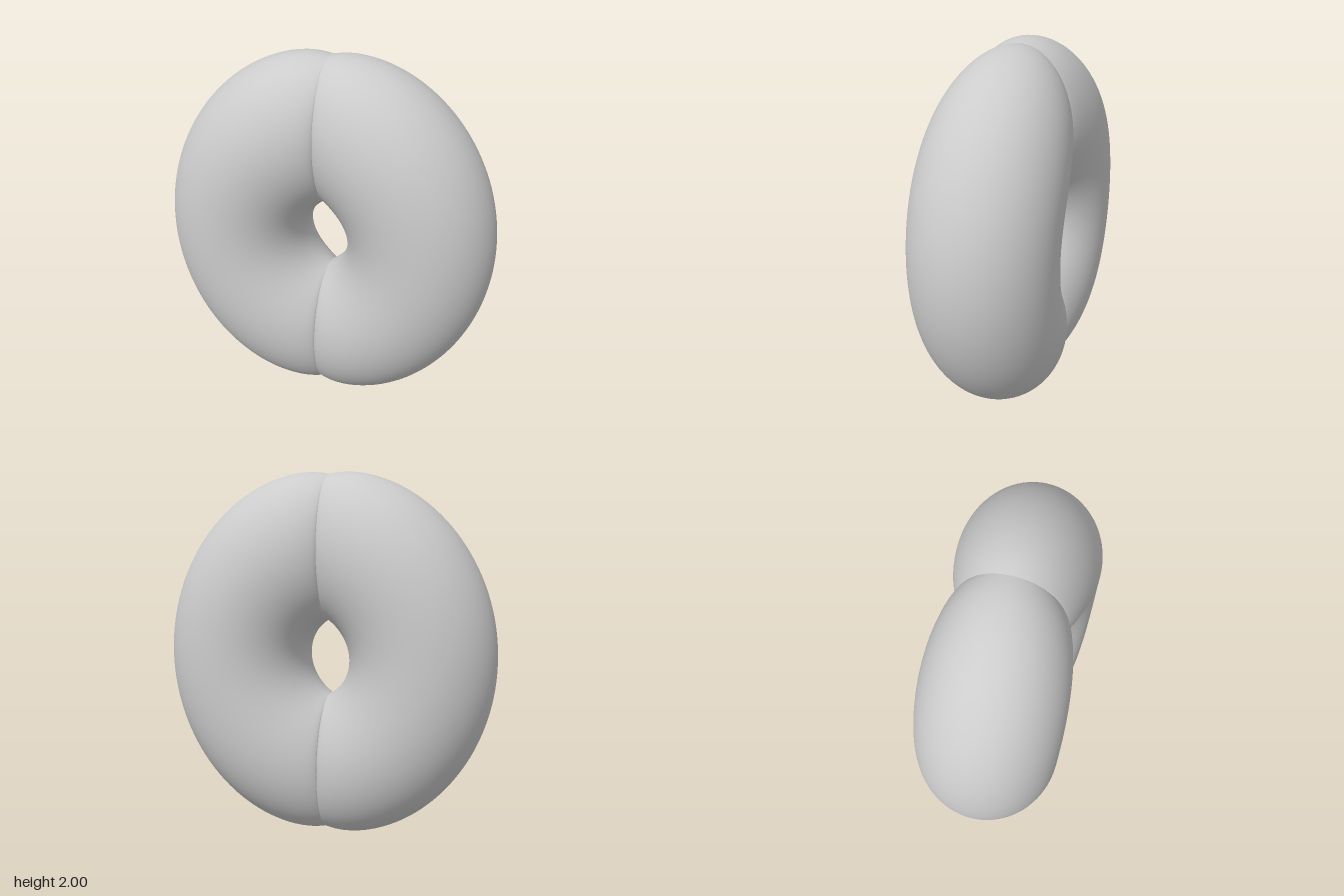
import * as THREE from 'three';

const ALONG = 128, AROUND = 80;

// Outer rim of one half: a flattened arc from the top seam (k = 0) to the bottom seam (k = 1)
function outerRim(k) {
  const start = -Math.asin(Math.pow(0.1 / 0.815, 1 / 1.08));
  const a = start + k * (Math.PI - 2 * start);
  const s = Math.sin(a);
  return new THREE.Vector2(0.1 + 0.815 * Math.sign(s) * Math.pow(Math.abs(s), 1.08), 1 + Math.cos(a));
}

// Rim of the hole: a shallow arc that meets its mirror image in a point
function innerRim(k) {
  const span = Math.acos(0.12 / 0.243);
  const a = span * (1 - 2 * k);
  return new THREE.Vector2(-0.12 + 0.243 * Math.cos(a), 1 + 0.243 * Math.sin(a));
}

// Half of the ring, lofted from elliptical sections that pinch towards the seams
function halfRingGeometry() {
  const positions = [], indices = [];
  for (let i = 0; i <= ALONG; i++) {
    // sections lie closer together near the seams
    const k = 0.5 - 0.5 * Math.cos(Math.PI * i / ALONG);
    const outer = outerRim(k), inner = innerRim(k);
    const mid = outer.clone().add(inner).multiplyScalar(0.5);
    const half = outer.clone().sub(inner).multiplyScalar(0.5);
    const s = THREE.MathUtils.clamp(mid.x / 0.519, 0, 1);
    const depth = 0.27 + 0.108 * Math.pow(1 - (1 - s) ** 2, 0.7);
    for (let j = 0; j < AROUND; j++) {
      const v = 2 * Math.PI * j / AROUND, c = Math.cos(v);
      positions.push(mid.x + half.x * c, mid.y + half.y * c, depth * Math.sin(v));
    }
  }
  for (let i = 0; i < ALONG; i++) {
    for (let j = 0; j < AROUND; j++) {
      const n = (j + 1) % AROUND;
      const a = i * AROUND + j, b = i * AROUND + n;
      indices.push(a, b, a + AROUND, b, b + AROUND, a + AROUND);
    }
  }
  const geometry = new THREE.BufferGeometry();
  geometry.setAttribute('position', new THREE.Float32BufferAttribute(positions, 3));
  geometry.setIndex(indices);
  geometry.computeVertexNormals();
  return geometry;
}

export function createModel() {
  const group = new THREE.Group();
  group.name = 'pinchedRing';
  const material = new THREE.MeshStandardMaterial({ color: 0xcccccc, side: THREE.DoubleSide });
  const geometry = halfRingGeometry();

  // The two halves meet in a crease on x = 0
  ['leftHalf', 'rightHalf'].forEach((name, i) => {
    const mesh = new THREE.Mesh(geometry, material);
    mesh.name = name;
    mesh.rotation.y = i * Math.PI;
    group.add(mesh);
  });
  return group;
}
